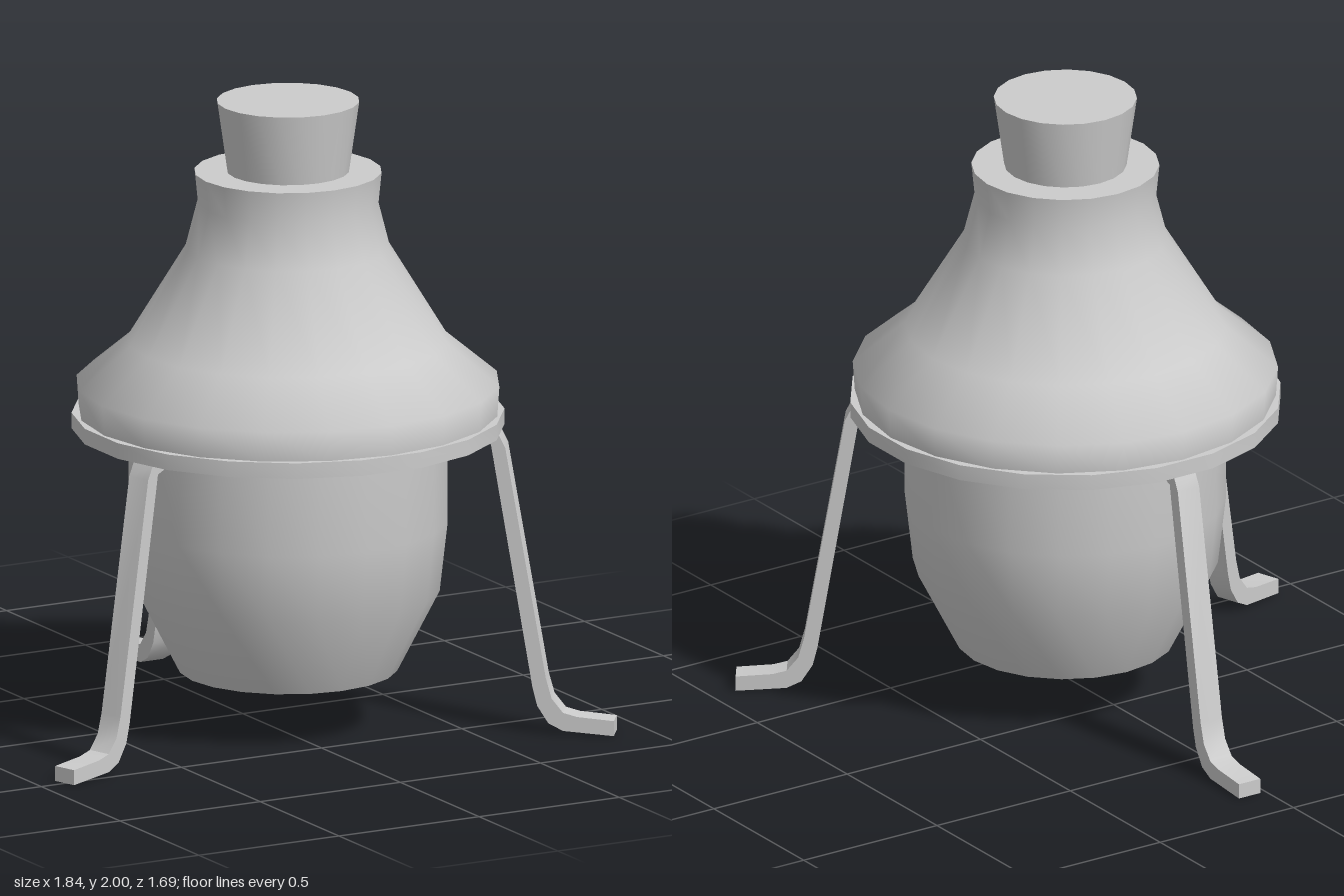
import * as THREE from 'three';
import { toCreasedNormals } from 'three/addons/utils/BufferGeometryUtils.js';

const material = new THREE.MeshStandardMaterial({ color: 0xcccccc, side: THREE.DoubleSide });
const SIDES = 20;

// Revolve [radius, height] points, keeping sharp edges only at strong corners
function turned(name, points) {
  const profile = points.map(([r, y]) => new THREE.Vector2(r, y));
  const geometry = toCreasedNormals(new THREE.LatheGeometry(profile, SIDES), 1.0);
  const mesh = new THREE.Mesh(geometry, material);
  mesh.name = name;
  return mesh;
}

// Bent flat bar: a side outline (outward, up) given a constant width
function leg(name, degrees) {
  const outline = [
    [0.59, 0.955], [0.665, 0.955], [0.685, 0.915], [0.812, 0.18], [0.83, 0.115],
    [0.866, 0.07], [0.91, 0.058], [1.025, 0.048],
    [1.025, 0], [0.866, 0.012], [0.82, 0.035], [0.785, 0.09], [0.77, 0.15],
    [0.64, 0.925], [0.59, 0.943],
  ];
  const width = 0.08;
  const shape = new THREE.Shape(outline.map(([r, y]) => new THREE.Vector2(r, y)));
  const geometry = new THREE.ExtrudeGeometry(shape, { depth: width, bevelEnabled: false });
  geometry.translate(0, 0, -width / 2);
  const mesh = new THREE.Mesh(toCreasedNormals(geometry, 0.6), material);
  mesh.name = name;
  mesh.rotation.y = -THREE.MathUtils.degToRad(degrees);
  return mesh;
}

export function createModel() {
  const model = new THREE.Group();
  model.name = 'standingVessel';

  // Lower bowl: thick wall with an open mouth underneath
  model.add(turned('bowl', [
    [0.42, 1.0], [0.42, 0.66], [0.4, 0.44], [0.265, 0.18],
    [0.342, 0.18], [0.475, 0.44], [0.5, 0.66], [0.5, 1.0], [0.42, 1.0],
  ]));

  // Support ring, its flats facing the axes
  const ring = turned('supportRing', [
    [0.6, 0.955], [0.674, 0.955], [0.674, 1.005], [0.6, 1.005], [0.6, 0.955],
  ]);
  ring.rotation.y = Math.PI / SIDES;
  model.add(ring);

  // Flared dome with a flat top
  model.add(turned('dome', [
    [0.655, 1.0], [0.662, 1.1], [0.5, 1.235], [0.32, 1.53],
    [0.283, 1.675], [0.293, 1.775], [0, 1.775],
  ]));

  // Tapered stopper
  model.add(turned('stopper', [[0, 1.77], [0.19, 1.77], [0.223, 2.0], [0, 2.0]]));

  // Three splayed legs
  model.add(leg('leftLeg', 36), leg('rightLeg', 162), leg('backLeg', 270));

  // The uneven leg spread puts the vessel off the centre of the bounds
  for (const part of model.children) part.position.set(0.06, 0, 0.18);
  return model;
}
